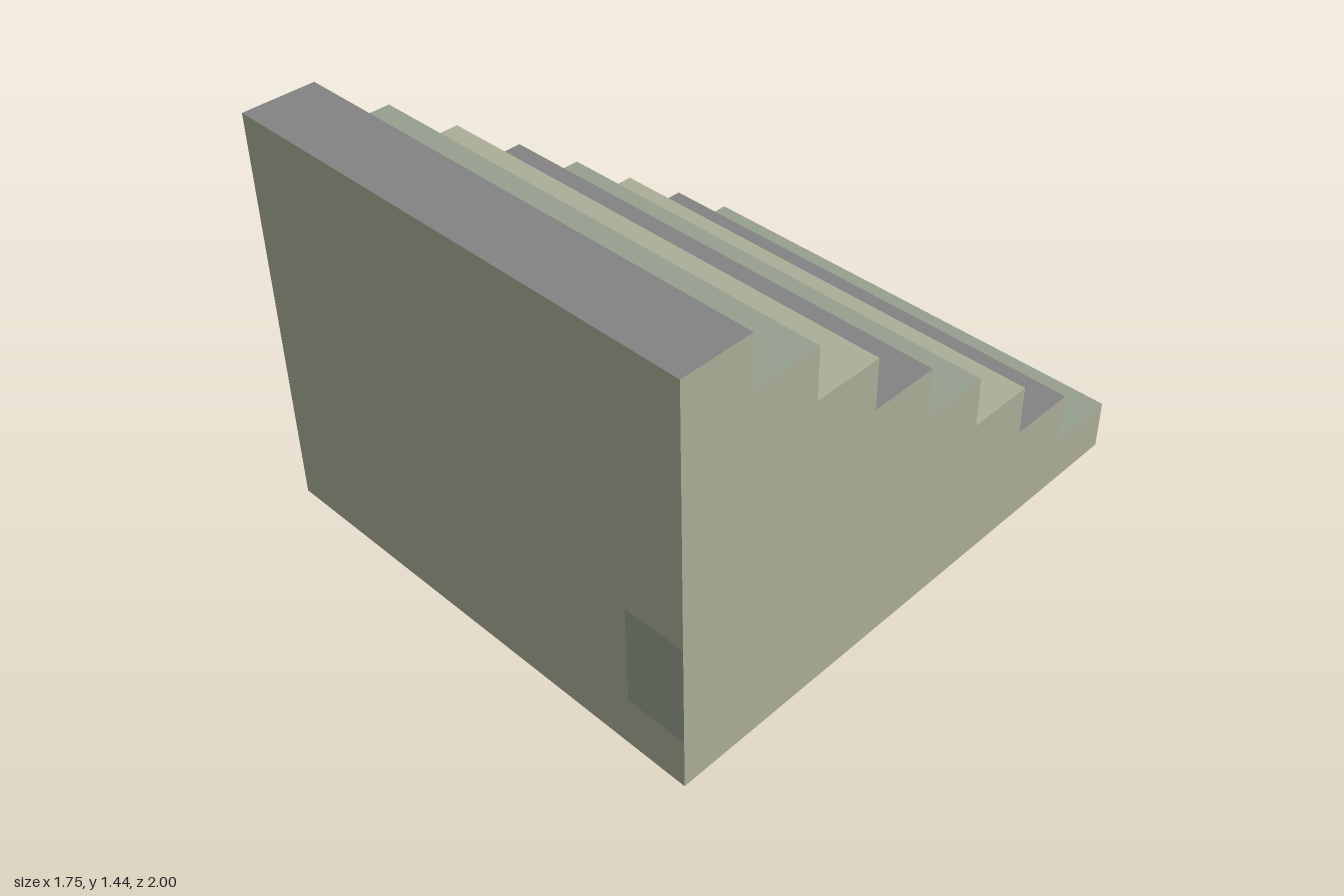
import * as THREE from 'three';

const STEPS = 8, HALF_W = 0.873, HEIGHT = 1.437;
const RISE = HEIGHT / STEPS, RUN = 2 / STEPS;

const paint = (color) => new THREE.MeshStandardMaterial({ color, flatShading: true });

export function createModel() {
  const group = new THREE.Group();
  const tan = paint(0xacae98), sage = paint(0x96a08f), grey = paint(0x838383);

  const add = (name, geometry, material, position, rotation = [0, 0, 0]) => {
    const mesh = new THREE.Mesh(geometry, material);
    mesh.name = name;
    mesh.position.set(...position);
    mesh.rotation.set(...rotation);
    group.add(mesh);
  };

  // Treads and risers climb from the back towards the front, cycling three colours
  const treadColors = [sage, grey, tan], riserColors = [grey, tan, sage];
  const tread = new THREE.PlaneGeometry(2 * HALF_W, RUN);
  const riser = new THREE.PlaneGeometry(2 * HALF_W, RISE);
  for (let i = 0; i < STEPS; i++) {
    const z = -1 + i * RUN;
    add(`tread${i + 1}`, tread, treadColors[i % 3], [0, (i + 1) * RISE, z + RUN / 2], [-Math.PI / 2, 0, 0]);
    add(`riser${i + 1}`, riser, riserColors[i % 3], [0, (i + 0.5) * RISE, z], [0, Math.PI, 0]);
  }

  // Stepped side walls, mirrored
  for (const side of [1, -1]) {
    const outline = new THREE.Shape().moveTo(side, 0);
    for (let i = 0; i < STEPS; i++) {
      outline.lineTo(-side * (-1 + i * RUN), (i + 1) * RISE);
      outline.lineTo(-side * (-1 + (i + 1) * RUN), (i + 1) * RISE);
    }
    outline.lineTo(-side, 0);
    add(side > 0 ? 'leftWall' : 'rightWall', new THREE.ShapeGeometry(outline), tan,
      [side * HALF_W, 0, 0], [0, side * Math.PI / 2, 0]);
  }

  // Front wall, notched around a flush panel at its left edge
  const panelX = 0.655, panelLow = RISE, panelHigh = 3 * RISE;
  const wall = new THREE.Shape([
    [-HALF_W, 0], [HALF_W, 0], [HALF_W, panelLow], [panelX, panelLow],
    [panelX, panelHigh], [HALF_W, panelHigh], [HALF_W, HEIGHT], [-HALF_W, HEIGHT],
  ].map(([x, y]) => new THREE.Vector2(x, y)));
  add('frontWall', new THREE.ShapeGeometry(wall), tan, [0, 0, 1]);
  add('frontPanel', new THREE.PlaneGeometry(HALF_W - panelX, panelHigh - panelLow), sage,
    [(HALF_W + panelX) / 2, (panelLow + panelHigh) / 2, 1]);

  // Underside
  add('base', new THREE.PlaneGeometry(2 * HALF_W, 2), tan, [0, 0, 0], [Math.PI / 2, 0, 0]);

  return group;
}
